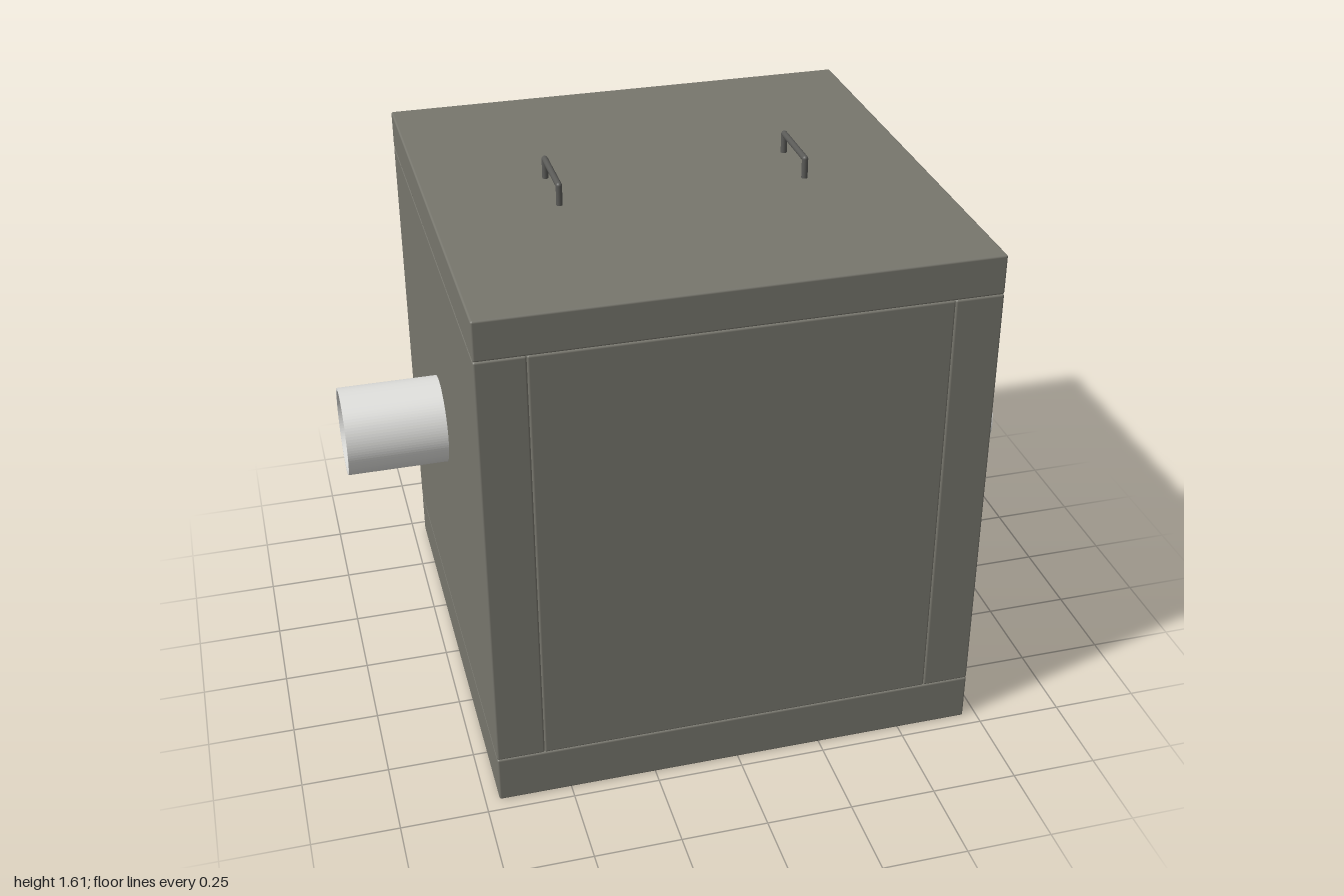
import * as THREE from 'three';
import { RoundedBoxGeometry } from 'three/addons/geometries/RoundedBoxGeometry.js';

const HALF = 0.71, WALL = 0.137;
const BASE_TOP = 0.145, LID_BOTTOM = 1.43, LID_TOP = 1.545;

function material(name, color) {
  const m = new THREE.MeshStandardMaterial({ color });
  m.name = name;
  return m;
}

export function createModel() {
  const concrete = material('concrete grey', 0x77766d);
  const plastic = material('pipe white', 0xe0e0dd);
  const steel = material('handle dark grey', 0x5a5a57);
  const model = new THREE.Group();
  model.name = 'inspectionChamber';

  function add(name, geometry, mat, x, y, z, parent = model) {
    const mesh = new THREE.Mesh(geometry, mat);
    mesh.name = name;
    mesh.position.set(x, y, z);
    parent.add(mesh);
    return mesh;
  }

  // Slab with slightly eased edges
  function slab(name, w, h, d, x, y, z) {
    add(name, new RoundedBoxGeometry(w, h, d, 2, 0.006), concrete, x, y, z);
  }

  // Base and lid
  const wallH = LID_BOTTOM - BASE_TOP, wallY = (LID_BOTTOM + BASE_TOP) / 2;
  slab('base', HALF * 2, BASE_TOP, HALF * 2, 0, BASE_TOP / 2, 0);
  slab('lid', HALF * 2, LID_TOP - LID_BOTTOM, HALF * 2, 0, (LID_TOP + LID_BOTTOM) / 2, 0);

  // Full-depth side walls with front and back walls set between them
  for (const s of [1, -1]) {
    const mid = s * (HALF - WALL / 2);
    slab(s > 0 ? 'leftWall' : 'rightWall', WALL, wallH, HALF * 2, mid, wallY, 0);
    slab(s > 0 ? 'frontWall' : 'backWall', (HALF - WALL) * 2, wallH, WALL, 0, wallY, mid);
  }

  // Thin-walled open pipe stubs at two heights
  const R = 0.128, r = 0.121, L = 1 - HALF + 0.01;
  const ring = new THREE.Shape().absarc(0, 0, R, 0, Math.PI * 2);
  ring.holes.push(new THREE.Path().absarc(0, 0, r, 0, Math.PI * 2, true));
  const pipeGeometry = new THREE.ExtrudeGeometry(ring, { depth: L, bevelEnabled: false, curveSegments: 48 });
  pipeGeometry.rotateY(Math.PI / 2);
  add('outletPipe', pipeGeometry, plastic, 1 - L, 0.645, 0);
  add('inletPipe', pipeGeometry, plastic, -1, 0.86, 0);

  // Two lifting handles made of round bar
  const bar = 0.009, reach = 0.095, barY = 1.612 - bar;
  const legH = barY - LID_TOP + 0.01;
  const legGeometry = new THREE.CylinderGeometry(bar, bar, legH, 16);
  const gripGeometry = new THREE.CylinderGeometry(bar, bar, reach * 2, 16).rotateX(Math.PI / 2);
  const cornerGeometry = new THREE.SphereGeometry(bar, 16, 10);
  for (const s of [1, -1]) {
    const handle = new THREE.Group();
    handle.name = s > 0 ? 'leftHandle' : 'rightHandle';
    handle.position.x = s * 0.355;
    add('grip', gripGeometry, steel, 0, barY, 0, handle);
    for (const z of [reach, -reach]) {
      add('leg', legGeometry, steel, 0, barY - legH / 2, z, handle);
      add('corner', cornerGeometry, steel, 0, barY, z, handle);
    }
    model.add(handle);
  }
  return model;
}
